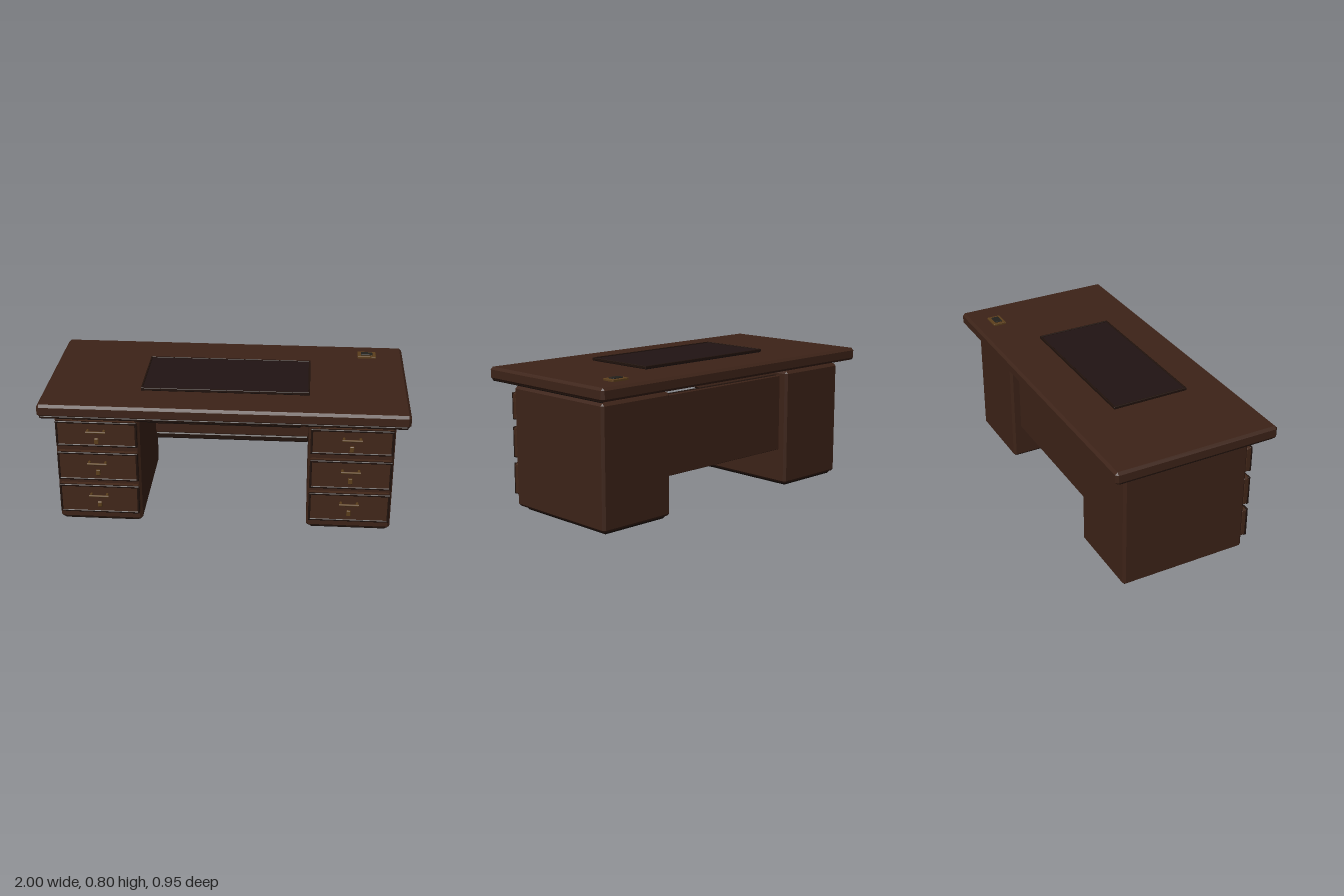
import * as THREE from 'three';
import { ConvexGeometry } from 'three/addons/geometries/ConvexGeometry.js';

const paint = (color) => new THREE.MeshStandardMaterial({ color });
const wood = paint(0x3d2318);
const drawerWood = paint(0x422719);
const darkWood = paint(0x20120c);
const leather = paint(0x211414);
const brass = paint(0x5c3f1c);
const darkInset = paint(0x23201c);

// Box with all edges cut at 45 degrees, given by its ranges [min, max]
function chamferBox(name, [x0, x1], [y0, y1], [z0, z1], c, material) {
  const w = (x1 - x0) / 2, h = (y1 - y0) / 2, d = (z1 - z0) / 2;
  const points = [];
  for (const sx of [-1, 1]) for (const sy of [-1, 1]) for (const sz of [-1, 1]) {
    points.push(
      new THREE.Vector3(sx * w, sy * (h - c), sz * (d - c)),
      new THREE.Vector3(sx * (w - c), sy * h, sz * (d - c)),
      new THREE.Vector3(sx * (w - c), sy * (h - c), sz * d));
  }
  const mesh = new THREE.Mesh(new ConvexGeometry(points), material);
  mesh.position.set((x0 + x1) / 2, (y0 + y1) / 2, (z0 + z1) / 2);
  mesh.name = name;
  return mesh;
}

// Four strips around a rectangle facing +z
function frontFrame(name, [x0, x1], [y0, y1], z, t, material) {
  const frame = new THREE.Group();
  frame.name = name;
  for (const x of [x0, x1 - t]) frame.add(chamferBox('frameSide', [x, x + t], [y0, y1], z, 0.003, material));
  for (const y of [y0, y1 - t]) frame.add(chamferBox('frameRail', [x0, x1], [y, y + t], z, 0.003, material));
  return frame;
}

// Drawer front with bar handle and lock plate, centred on x = 0
function createDrawer(y0, y1, handleY) {
  const drawer = new THREE.Group();
  drawer.name = 'drawer';
  drawer.add(chamferBox('drawerFront', [-0.225, 0.225], [y0, y1], [0.335, 0.374], 0.008, drawerWood));
  drawer.add(frontFrame('drawerTrim', [-0.225, 0.225], [y0, y1], [0.36, 0.377], 0.012, darkWood));

  const bar = new THREE.Mesh(new THREE.CylinderGeometry(0.006, 0.006, 0.11, 12), brass);
  bar.name = 'handleBar';
  bar.rotation.z = Math.PI / 2;
  bar.position.set(0, handleY, 0.398);
  drawer.add(bar);
  for (const x of [-0.045, 0.045]) {
    const post = new THREE.Mesh(new THREE.CylinderGeometry(0.008, 0.008, 0.026, 12), brass);
    post.name = 'handlePost';
    post.rotation.x = Math.PI / 2;
    post.position.set(x, handleY, 0.384);
    drawer.add(post);
  }
  drawer.add(chamferBox('lockPlate', [-0.012, 0.012], [handleY - 0.08, handleY - 0.046], [0.37, 0.383], 0.003, brass));
  return drawer;
}

// Pedestal cabinet with three drawers
function createPedestal(x) {
  const pedestal = new THREE.Group();
  pedestal.name = 'pedestal';
  pedestal.add(chamferBox('cabinet', [-0.235, 0.235], [0.015, 0.686], [-0.392, 0.342], 0.014, wood));
  pedestal.add(chamferBox('plinth', [-0.215, 0.215], [0, 0.045], [-0.376, 0.29], 0.013, darkWood));
  pedestal.add(chamferBox('frontFoot', [-0.215, 0.215], [0.009, 0.035], [0.303, 0.335], 0.006, darkWood));
  for (const [y0, y1, handleY] of [[0.075, 0.25, 0.193], [0.282, 0.455, 0.397], [0.494, 0.645, 0.593]]) {
    pedestal.add(createDrawer(y0, y1, handleY));
  }
  pedestal.position.x = x;
  return pedestal;
}

export function createModel() {
  const desk = new THREE.Group();
  desk.name = 'desk';

  // Table top and the moulding below its edge
  desk.add(chamferBox('tableTop', [-1, 1], [0.711, 0.783], [-0.473, 0.473], 0.014, wood));
  desk.add(chamferBox('frontMoulding', [-0.985, 0.985], [0.704, 0.721], [0.452, 0.47], 0.005, darkWood));
  for (const s of [-1, 1]) {
    const x = s * 0.981;
    desk.add(chamferBox('sideMoulding', [x - 0.009, x + 0.009], [0.706, 0.721], [-0.452, 0.455], 0.005, darkWood));
  }

  for (const s of [-1, 1]) desk.add(createPedestal(s * 0.7));

  // Modesty panel with top and bottom rails
  desk.add(chamferBox('modestyPanel', [-0.475, 0.475], [0.217, 0.66], [-0.34, -0.312], 0.003, wood));
  desk.add(chamferBox('bottomRail', [-0.465, 0.465], [0.215, 0.252], [-0.325, -0.298], 0.006, darkWood));
  desk.add(chamferBox('topRail', [-0.465, 0.465], [0.645, 0.662], [-0.325, -0.298], 0.005, darkWood));

  // Shallow centre drawer
  desk.add(chamferBox('centreDrawerBox', [-0.42, 0.42], [0.647, 0.713], [0.315, 0.372], 0.006, darkWood));
  desk.add(chamferBox('centreDrawerFront', [-0.38, 0.38], [0.662, 0.7], [0.36, 0.382], 0.005, drawerWood));

  // Writing pad with a raised rim
  desk.add(chamferBox('writingPad', [-0.458, 0.458], [0.78, 0.796], [-0.195, 0.243], 0.004, leather));
  for (const z of [-0.192, 0.242]) {
    desk.add(chamferBox('padRim', [-0.463, 0.463], [0.785, 0.801], [z - 0.005, z + 0.005], 0.002, darkWood));
  }
  for (const x of [-0.458, 0.458]) {
    desk.add(chamferBox('padRim', [x - 0.005, x + 0.005], [0.785, 0.801], [-0.197, 0.247], 0.002, darkWood));
  }

  // Cable outlet at the back corner
  desk.add(chamferBox('outletPlate', [0.737, 0.843], [0.778, 0.794], [-0.37, -0.293], 0.002, brass));
  desk.add(chamferBox('outletCover', [0.757, 0.823], [0.785, 0.799], [-0.352, -0.311], 0.002, darkInset));
  return desk;
}
